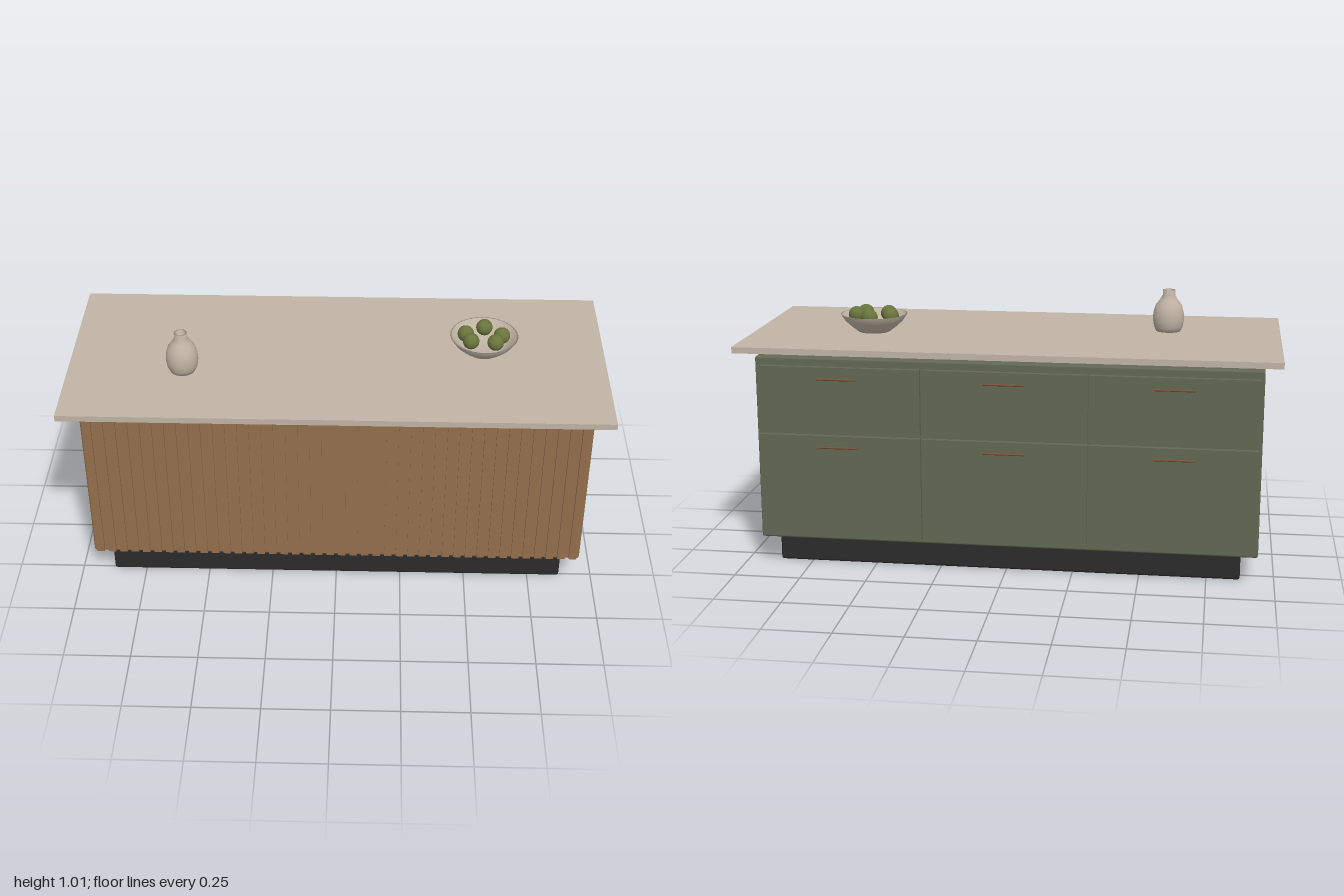
import * as THREE from 'three';
import { RoundedBoxGeometry } from 'three/addons/geometries/RoundedBoxGeometry.js';

const material = (name, color, side = THREE.FrontSide) => {
  const m = new THREE.MeshStandardMaterial({ color, side });
  m.name = name;
  return m;
};

export function createModel() {
  const root = new THREE.Group();
  root.name = 'kitchenIsland';

  const green = material('sage green paint', 0x616852);
  const wood = material('oak', 0x936f4c);
  const black = material('black plinth', 0x2b2b2c);
  const stone = material('beige stone', 0xc0b4a5);
  const bronze = material('bronze', 0x7a5238);
  const ceramic = material('ceramic', 0xbfb3a3, THREE.DoubleSide);
  const fruit = material('green fruit', 0x69743c);

  const add = (name, geometry, mat, x = 0, y = 0, z = 0, parent = root) => {
    const mesh = new THREE.Mesh(geometry, mat);
    mesh.name = name;
    mesh.position.set(x, y, z);
    parent.add(mesh);
    return mesh;
  };

  // Box given by its limits on each axis, with optional rounded edges
  const block = (name, mat, [x0, x1], [y0, y1], [z0, z1], r = 0, parent = root) => {
    const s = [x1 - x0, y1 - y0, z1 - z0];
    const g = r ? new RoundedBoxGeometry(...s, 2, r) : new THREE.BoxGeometry(...s);
    return add(name, g, mat, (x0 + x1) / 2, (y0 + y1) / 2, (z0 + z1) / 2, parent);
  };

  // Carcass
  block('plinth', black, [-0.875, 0.875], [0, 0.1], [-0.305, 0.262], 0.01);
  block('cabinetBody', green, [-0.938, 0.938], [0.1, 0.805], [-0.337, 0.255], 0.008);
  block('countertop', stone, [-1, 1], [0.831, 0.854], [-0.415, 0.417]);

  // Slatted front
  block('slatBacking', wood, [-0.945, 0.945], [0.104, 0.81], [0.247, 0.279], 0.01);
  const slats = new THREE.Group();
  slats.name = 'frontSlats';
  root.add(slats);
  const count = 42, pitch = 1.88 / count;
  for (let i = 0; i < count; i++) {
    const x = (i - (count - 1) / 2) * pitch;
    block('slat', wood, [x - 0.0145, x + 0.0145], [0.112, 0.803], [0.27, 0.291], 0, slats);
  }

  // Drawers on the back, each with a bar handle on two posts
  const drawer = (x, y0, y1, handleY) => {
    const g = new THREE.Group();
    g.name = 'drawer';
    root.add(g);
    block('drawerFront', green, [x - 0.307, x + 0.307], [y0, y1], [-0.361, -0.341], 0, g);
    const bar = add('handleBar', new THREE.CylinderGeometry(0.004, 0.004, 0.15, 10), bronze, x, handleY, -0.384, g);
    bar.rotation.z = Math.PI / 2;
    for (const s of [-1, 1]) {
      const post = add('handlePost', new THREE.CylinderGeometry(0.003, 0.003, 0.025, 8), bronze, x + s * 0.05, handleY, -0.3725, g);
      post.rotation.x = Math.PI / 2;
    }
  };
  for (const x of [-0.62, 0, 0.62]) {
    drawer(x, 0.522, 0.775, 0.735);
    drawer(x, 0.12, 0.513, 0.475);
  }

  const lathe = (name, points, x, z) =>
    add(name, new THREE.LatheGeometry(points.map(p => new THREE.Vector2(...p)), 36), ceramic, x, 0.854, z);

  // Vase with an open neck
  lathe('vase', [
    [0, 0], [0.047, 0], [0.055, 0.018], [0.06, 0.045], [0.058, 0.072], [0.05, 0.1],
    [0.034, 0.122], [0.024, 0.138], [0.024, 0.159], [0.018, 0.159], [0.018, 0.136], [0, 0.12],
  ], -0.573, 0.108);

  // Fruit bowl
  lathe('bowl', [
    [0, 0], [0.06, 0], [0.085, 0.019], [0.11, 0.042], [0.128, 0.068],
    [0.121, 0.068], [0.104, 0.045], [0.08, 0.023], [0.055, 0.008], [0, 0.006],
  ], 0.547, -0.046);

  // Fruit
  const ball = new THREE.SphereGeometry(0.031, 20, 14);
  const spots = [[0.551, -0.108], [0.479, -0.062], [0.614, -0.052], [0.497, -0.011], [0.588, -0.004]];
  for (const [x, z] of spots) add('fruit', ball, fruit, x, 0.918, z);

  return root;
}
